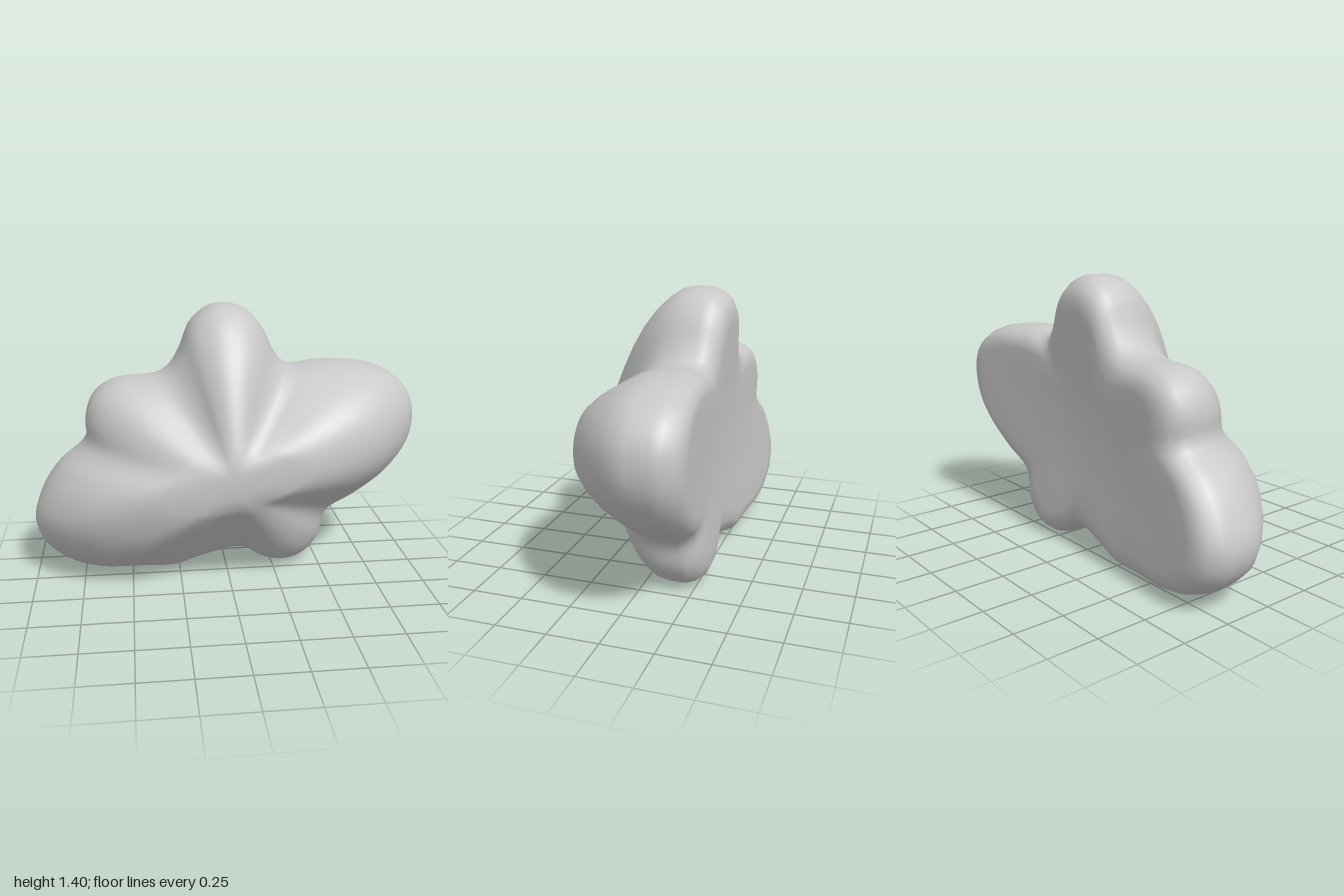
import * as THREE from 'three';

// Silhouette, counter-clockwise from the left-hand tip
const OUTLINE = [
  [1, 0.79], [0.98, 0.91], [0.9, 1.01], [0.75, 1.075], [0.5, 1.095], [0.32, 1.085], [0.26, 1.15],
  [0.18, 1.3], [0.1, 1.375], [0, 1.4], [-0.08, 1.385], [-0.17, 1.31], [-0.23, 1.17], [-0.28, 1.09], [-0.34, 1.05],
  [-0.57, 1.02], [-0.67, 0.95], [-0.715, 0.84], [-0.72, 0.72], [-0.86, 0.59], [-0.95, 0.46],
  [-1, 0.31], [-0.97, 0.19], [-0.87, 0.09], [-0.72, 0.025], [-0.5, 0.01], [-0.29, 0.005], [-0.18, 0.04],
  [0.08, 0.095], [0.2, 0.03], [0.32, 0.003], [0.43, 0.04], [0.51, 0.14], [0.55, 0.29],
  [0.72, 0.4], [0.88, 0.53], [0.97, 0.66],
];
// Front slope: [fraction from cap to rim, depth along lobe crests, depth on the flanks]
const FRONT = [
  [0, 0.338, 0.335], [0.1, 0.327, 0.3], [0.22, 0.308, 0.255], [0.38, 0.275, 0.197], [0.55, 0.226, 0.138],
  [0.7, 0.16, 0.088], [0.83, 0.08, 0.037], [0.92, 0.005, -0.012], [0.98, -0.06, -0.07], [1, -0.12, -0.13],
];
// Back rim: [distance inward from the silhouette, share of the way to the back depth]
const BACK = [[0, 0.4], [0.015, 0.6], [0.05, 0.82], [0.1, 0.95], [0.17, 1]];

function bodyGeometry() {
  const segments = 144, cy = 0.6, tilt = 0.2;
  const { lerp: mix, smoothstep } = THREE.MathUtils;
  const curve = new THREE.CatmullRomCurve3(
    OUTLINE.map(([x, y]) => new THREE.Vector3(x, y, 0)), true, 'centripetal');
  const rim = curve.getSpacedPoints(segments).slice(0, segments);
  const radius = rim.map((p) => Math.hypot(p.x, p.y - cy));
  const rings = [];

  // Tilted oval cap in the middle of the front
  const cap = rim.map((p) => {
    const a = Math.atan2(p.y - cy, p.x) - tilt;
    const r = 1 / Math.hypot(Math.cos(a) / 0.35, Math.sin(a) / 0.12);
    return [r * Math.cos(a + tilt), cy + r * Math.sin(a + tilt)];
  });
  rings.push(cap.map(([x, y]) => [x * 0.5, mix(cy, y, 0.5), 0.345]));

  // Long lobes bulge, the flanks between them run straight; softened along the rim
  const flank = rim.map((_, i) => {
    let sum = 0;
    for (let k = -4; k <= 4; k++) {
      sum += 1 - smoothstep(radius[(i + k + segments) % segments], 0.58, 0.95);
    }
    return sum / 9;
  });
  for (const [s, crest, side] of FRONT) {
    rings.push(rim.map((p, i) => [
      mix(cap[i][0], p.x, s), mix(cap[i][1], p.y, s), mix(crest, side, flank[i])]));
  }

  // Rounded rear rim, then a slightly hollow back
  const rear = (d) => -0.285 - 0.085 * d * d;
  for (const [inset, k] of BACK) {
    rings.push(rim.map((p, i) => {
      const t = 1 - inset / radius[i];
      const start = mix(-0.12, -0.13, flank[i]);
      return [p.x * t, mix(cy, p.y, t), mix(start, rear(radius[i] * t), k)];
    }));
  }
  for (const share of [0.66, 0.33]) {
    rings.push(rim.map((p, i) => {
      const t = share * (1 - 0.17 / radius[i]);
      return [p.x * t, mix(cy, p.y, t), rear(radius[i] * t)];
    }));
  }

  const position = rings.flat(2), index = [];
  for (let r = 0; r < rings.length - 1; r++) {
    for (let i = 0; i < segments; i++) {
      const j = (i + 1) % segments, a = r * segments, b = a + segments;
      index.push(a + i, b + i, b + j, a + i, b + j, a + j);
    }
  }
  // Close the front and back with a centre point each
  const front = position.length / 3, last = (rings.length - 1) * segments;
  position.push(0, cy, 0.345, 0, cy, rear(0));
  for (let i = 0; i < segments; i++) {
    const j = (i + 1) % segments;
    index.push(front, i, j, front + 1, last + j, last + i);
  }
  const geometry = new THREE.BufferGeometry();
  geometry.setAttribute('position', new THREE.Float32BufferAttribute(position, 3));
  geometry.setIndex(index);
  geometry.computeVertexNormals();
  return geometry;
}

export function createModel() {
  const group = new THREE.Group();
  group.name = 'lobedBlob';
  const grey = new THREE.MeshStandardMaterial({ color: 0xc8c8c8 });
  grey.name = 'light grey';
  const body = new THREE.Mesh(bodyGeometry(), grey);
  body.name = 'body';
  group.add(body);
  return group;
}
